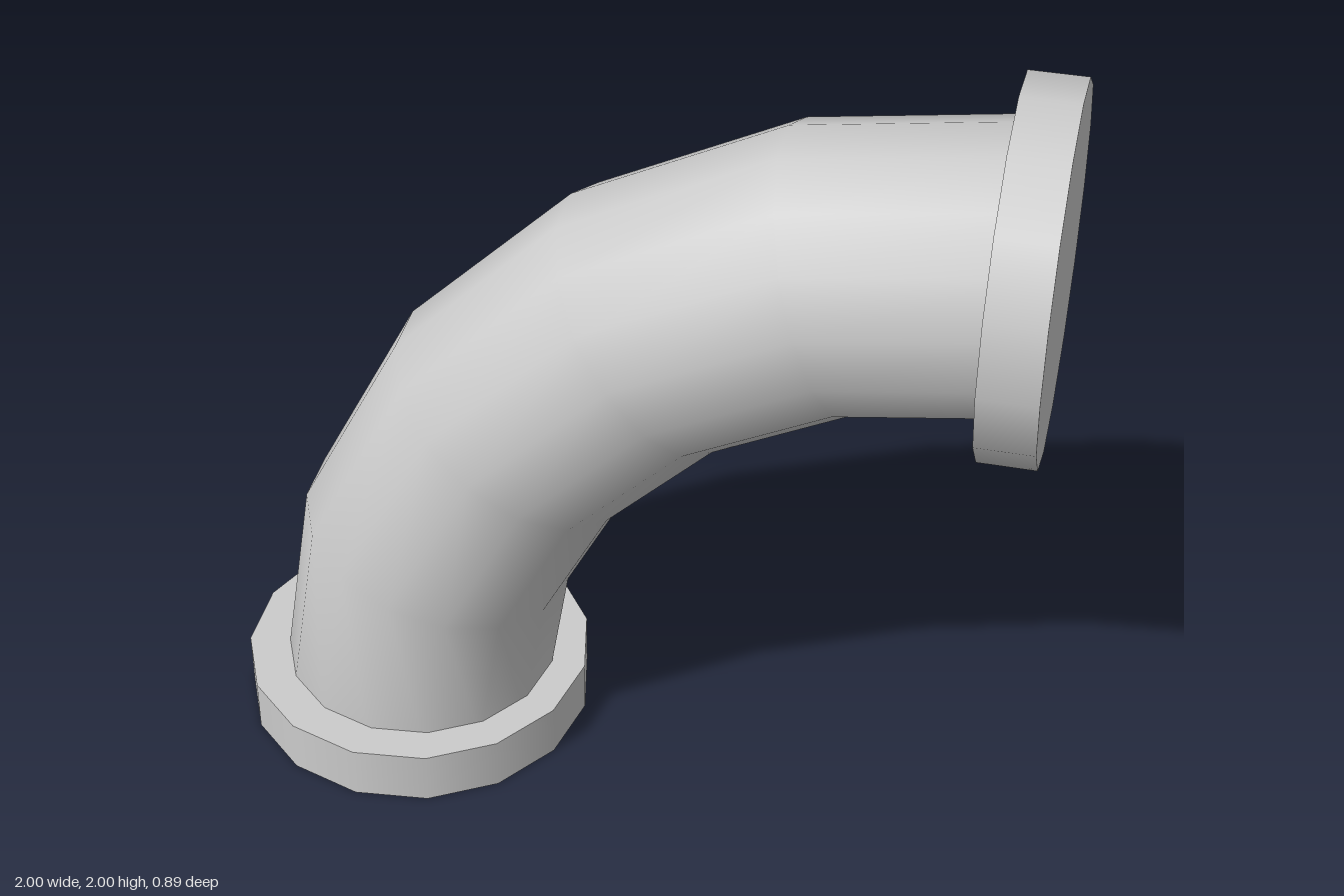
import * as THREE from 'three';

const SIDES = 15;

export function createModel() {
  const group = new THREE.Group();
  const material = new THREE.MeshStandardMaterial({ color: 0xcccccc });

  const add = (name, geometry, x, y) => {
    const mesh = new THREE.Mesh(geometry, material);
    mesh.name = name;
    mesh.position.set(x, y, 0);
    group.add(mesh);
    return mesh;
  };

  // Quarter-turn elbow; the negative tube radius starts each ring at the inside of the bend
  const bend = new THREE.TorusGeometry(1.477, -0.349, SIDES, 5, Math.PI / 2);
  bend.rotateZ(Math.PI / 2);
  add('elbowPipe', bend, 0.912, 0.082);

  // Solid flange discs, with one corner pointing along +x before placement
  const flange = new THREE.CylinderGeometry(0.445, 0.445, 0.14, SIDES, 1, false, Math.PI / 2);
  add('bottomFlange', flange, -0.565, 0.07);
  add('sideFlange', flange, 0.93, 1.555).rotation.z = Math.PI / 2;

  return group;
}
